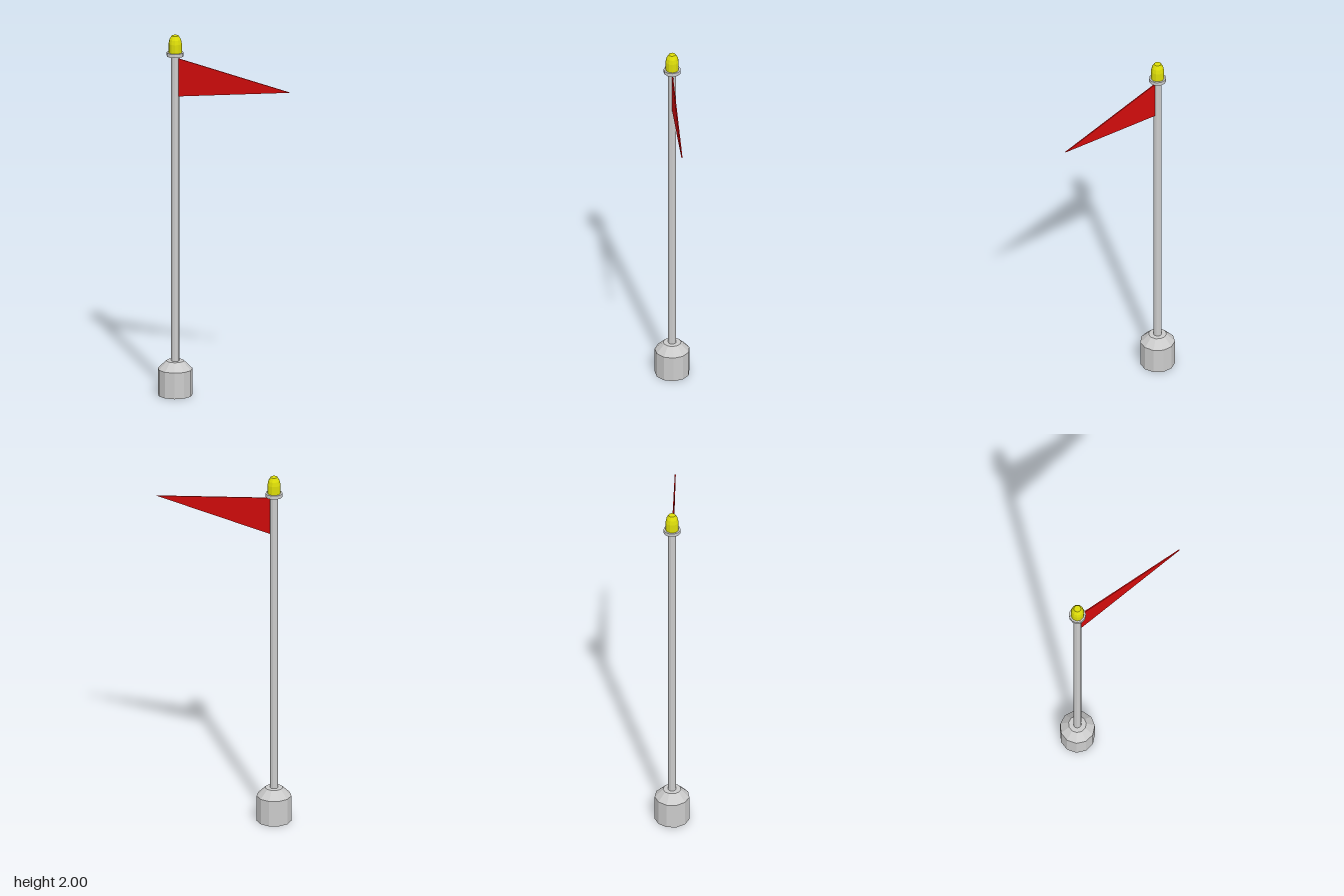
import * as THREE from 'three';

const POLE_X = -0.3;
const SIDES = 11;

const material = (color) => new THREE.MeshStandardMaterial({ color, flatShading: true });

// Faceted solid of revolution around the pole axis, profile from bottom to top
function turned(name, profile, mat) {
  const points = profile.map(([r, y]) => new THREE.Vector2(r, y));
  const mesh = new THREE.Mesh(new THREE.LatheGeometry(points, SIDES, Math.PI / 2), mat);
  mesh.name = name;
  mesh.position.x = POLE_X;
  return mesh;
}

export function createModel() {
  const group = new THREE.Group();
  group.name = 'pennantPole';
  const grey = material(0xcccccc);

  // Weighted foot with a chamfered shoulder
  group.add(turned('base', [[0, 0], [0.094, 0], [0.094, 0.145], [0.048, 0.19], [0, 0.19]], grey));

  // Long pole and the collar below its finial
  group.add(turned('pole', [[0, 0.18], [0.022, 0.18], [0.022, 1.895], [0, 1.895]], grey));
  group.add(turned('collar', [[0, 1.886], [0.046, 1.886], [0.046, 1.906], [0, 1.906]], grey));

  // Rounded finial with a small flat tip
  group.add(turned('finial', [
    [0, 1.9], [0.036, 1.9], [0.036, 1.955], [0.031, 1.978], [0.019, 1.999], [0, 2],
  ], material(0xdddd08)));

  // Triangular pennant, thin and flat
  const outline = new THREE.Shape();
  outline.moveTo(-0.285, 1.663);
  outline.lineTo(0.39, 1.769);
  outline.lineTo(-0.285, 1.875);
  outline.closePath();
  const thickness = 0.006;
  const cloth = new THREE.ExtrudeGeometry(outline, { depth: thickness, bevelEnabled: false });
  cloth.translate(0, 0, -thickness / 2);
  const pennant = new THREE.Mesh(cloth, material(0xd60c0c));
  pennant.name = 'pennant';
  group.add(pennant);

  return group;
}
